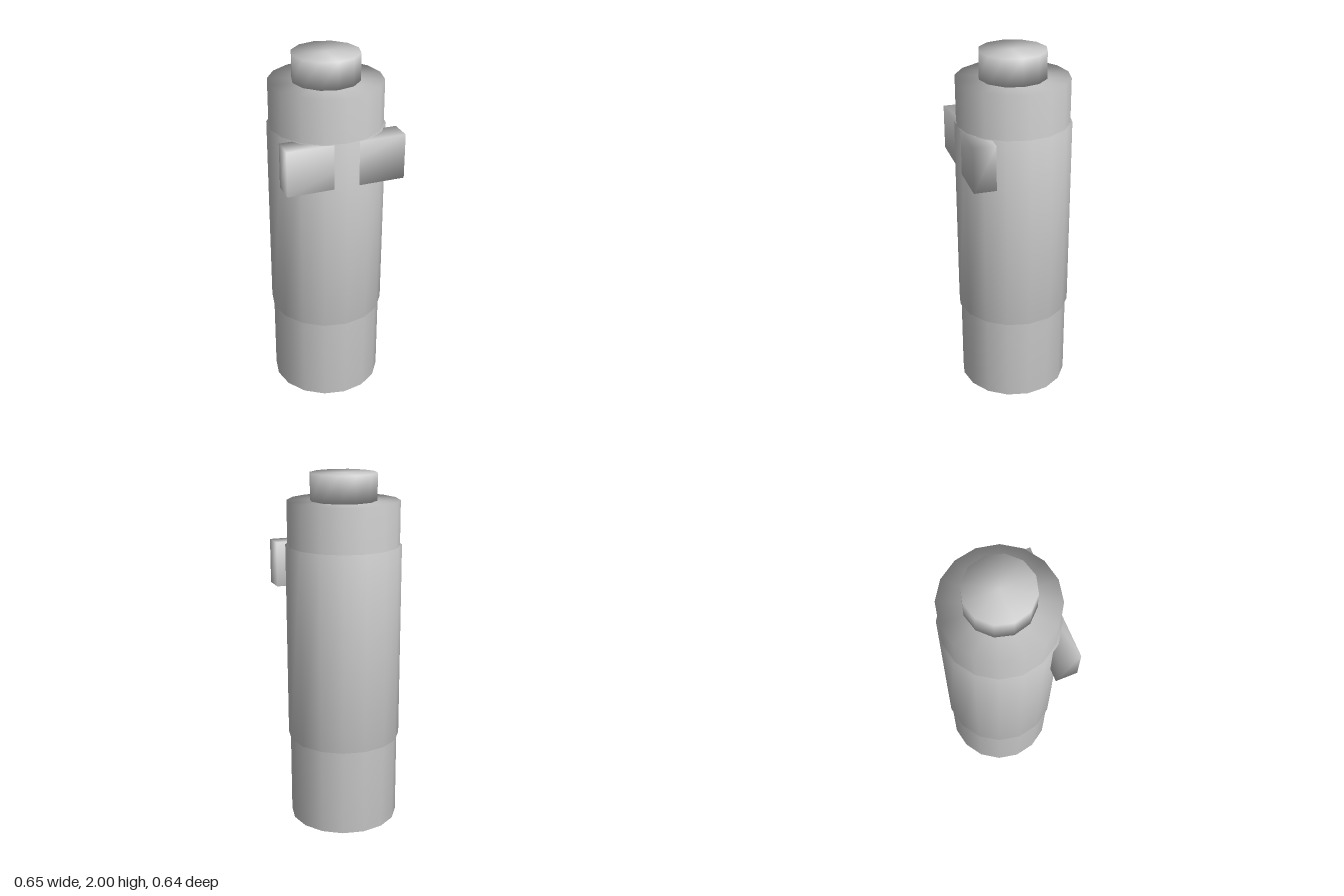
import * as THREE from 'three';
import { mergeVertices } from 'three/addons/utils/BufferGeometryUtils.js';

// Weld corners so shading runs smoothly over every edge
function smooth(geometry) {
  geometry.deleteAttribute('normal');
  geometry.deleteAttribute('uv');
  const welded = mergeVertices(geometry, 1e-4);
  welded.computeVertexNormals();
  return welded;
}

export function createModel() {
  const group = new THREE.Group();
  const grey = new THREE.MeshStandardMaterial({ color: 0xcccccc });
  grey.name = 'light grey';

  function add(name, geometry, x, y, z) {
    const mesh = new THREE.Mesh(smooth(geometry), grey);
    mesh.name = name;
    mesh.position.set(x, y, z);
    group.add(mesh);
  }

  // Upright cylinder between two heights
  function cylinder(name, radius, bottom, top, sides) {
    const height = top - bottom;
    add(name, new THREE.CylinderGeometry(radius, radius, height, sides), 0, bottom + height / 2, 0);
  }

  cylinder('core', 0.31, 0, 1.853, 16);
  cylinder('sleeve', 0.321, 0.5, 1.61, 16);
  cylinder('topKnob', 0.185, 1.853, 2, 12);

  // Crossbar set into the front of the sleeve, its ends sticking out either side
  add('crossbar', new THREE.BoxGeometry(0.654, 0.25, 0.122), 0, 1.485, 0.246);

  return group;
}
